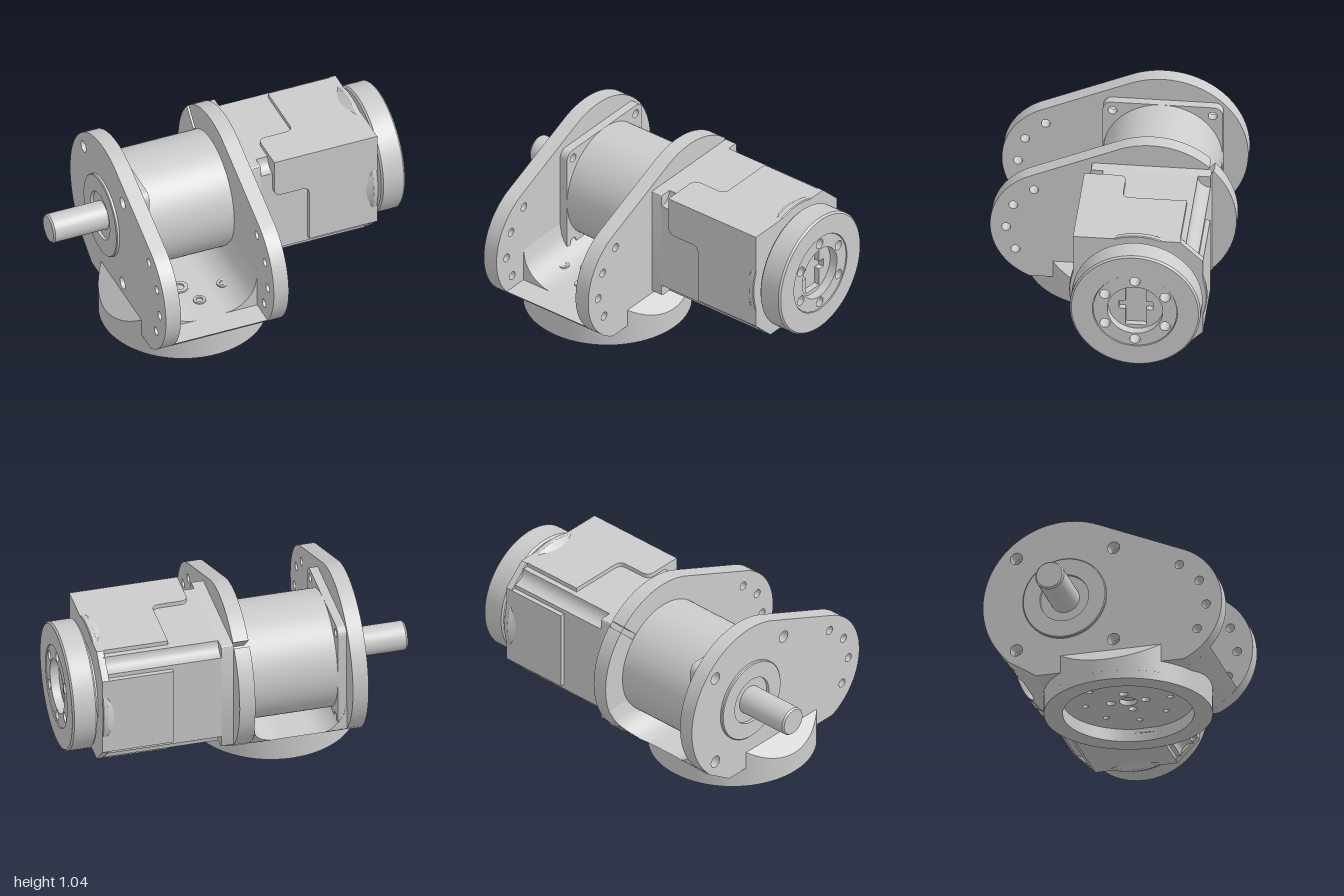
import * as THREE from 'three';
import { toCreasedNormals } from 'three/addons/utils/BufferGeometryUtils.js';

const AY = 0.57, AU = 0.213;      // motor axis; u = -z
const BX = -0.30, BZ = 0.05;      // base centre
const PI = Math.PI;

export function createModel() {
  const root = new THREE.Group();
  const mat = new THREE.MeshStandardMaterial({ color: 0xcccccc });

  const add = (name, geo) => {
    const m = new THREE.Mesh(toCreasedNormals(geo, 0.5), mat);
    m.name = name;
    root.add(m);
    return m;
  };
  const poly = (pts) => new THREE.Shape(pts.map(([a, b]) => new THREE.Vector2(a, b)));
  const circle = (u, v, r) => new THREE.Shape().absarc(u, v, r, 0, PI * 2, false);
  const punch = (shape, u, v, r) => shape.holes.push(new THREE.Path().absarc(u, v, r, 0, PI * 2, true));
  const extrude = (shape, depth) =>
    new THREE.ExtrudeGeometry(shape, { depth, bevelEnabled: false, curveSegments: 24 });
  // Prism along x from a (u, y) outline
  const prism = (name, shape, x0, x1) =>
    add(name, extrude(shape, x1 - x0).rotateY(PI / 2).translate(x0, 0, 0));
  // Turned part on the motor axis from [x, radius] pairs
  const turned = (name, pts, sides = 64) =>
    add(name, new THREE.LatheGeometry(pts.map(([x, r]) => new THREE.Vector2(r, x)), sides)
      .rotateZ(-PI / 2).translate(0, AY, -AU));

  // Side plates of the bracket
  function plateShape(slit) {
    const s = new THREE.Shape();
    s.moveTo(-0.474, 0.12);
    s.lineTo(0.38, 0.12);
    s.lineTo(0.555, 0.235);
    if (slit) {
      const a = PI / 4, w = 0.036;
      s.absarc(AU, AY, 0.473, -0.775, a - w, false);
      s.lineTo(AU + 0.34 * Math.cos(a - w * 1.4), AY + 0.34 * Math.sin(a - w * 1.4));
      s.lineTo(AU + 0.34 * Math.cos(a + w * 1.4), AY + 0.34 * Math.sin(a + w * 1.4));
      s.absarc(AU, AY, 0.473, a + w, 1.979, false);
    } else {
      s.absarc(AU, AY, 0.473, -0.775, 1.979, false);
    }
    s.absarc(-0.325, 0.455, 0.365, 1.979, 4.294, false);
    for (const [u, v] of [[-0.445, 0.7], [-0.56, 0.59], [-0.6, 0.44], [-0.548, 0.295]]) punch(s, u, v, 0.025);
    return s;
  }
  const corners = [[1, 1], [1, -1], [-1, 1], [-1, -1]];
  const outer = plateShape(false);
  for (const [i, j] of corners) punch(outer, AU + i * 0.28, AY + j * 0.28, 0.035);
  prism('shaftSidePlate', outer, -0.67, -0.58);
  prism('clampPlate', plateShape(true), -0.02, 0.07);

  // Cradle floor with coved sides, lofted between the plates
  const backEdge = (y) => y < 0.235
    ? 0.38 + (y - 0.12) / 0.115 * 0.175
    : AU + Math.sqrt(0.473 ** 2 - (y - AY) ** 2);
  const sections = [];
  const R = 0.2, N = 40, K = 10;
  for (let i = 0; i <= N; i++) {
    const dx = -0.28 + 0.56 * i / N;
    const t = Math.min(R, Math.max(0, Math.abs(dx) - 0.08));
    const h = 0.215 + R - Math.sqrt(Math.max(0, R * R - t * t));
    const sec = [[-0.45, 0.12]];
    for (let k = 0; k <= K; k++) {
      const y = 0.12 + (h - 0.12) * k / K;
      sec.push([dx < 0 ? Math.min(0.55, backEdge(y)) : backEdge(y), y]);
    }
    sec.push([-0.45, h]);
    sections.push(sec.map(([u, y]) => [BX + dx, y, -u]));
  }
  const pos = [];
  for (let i = 0; i < N; i++) {
    const p = sections[i], q = sections[i + 1], n = p.length;
    for (let k = 0; k < n; k++) {
      const l = (k + 1) % n;
      pos.push(...p[k], ...p[l], ...q[l], ...p[k], ...q[l], ...q[k]);
    }
  }
  const loft = new THREE.BufferGeometry();
  loft.setAttribute('position', new THREE.Float32BufferAttribute(pos, 3));
  add('cradleFloor', loft);
  prism('cradleLip', poly([[-0.474, 0.12], [-0.44, 0.12], [-0.44, 0.215], [-0.6, 0.215], [-0.545, 0.162]]), -0.58, -0.02);

  // Screw seats in the floor
  for (const [x, y, z, r] of [[-0.48, 0.232, 0.22, 0.035], [-0.3, 0.216, 0.29, 0.035], [-0.13, 0.232, 0.22, 0.035], [-0.36, 0.216, 0.14, 0.05]]) {
    const ring = circle(0, 0, r);
    punch(ring, 0, 0, r * 0.55);
    add('screwSeat', extrude(ring, 0.01).rotateX(-PI / 2).translate(x, y, z));
  }

  // Round base, hollow below, with its rim trimmed to the slopes
  const base = new THREE.LatheGeometry(
    [[0, 0.11], [0.365, 0.11], [0.365, 0], [0.47, 0], [0.47, 0.15], [0, 0.15]].map(([r, y]) => new THREE.Vector2(r, y)), 72);
  const bp = base.attributes.position;
  for (let i = 0; i < bp.count; i++)
    if (bp.getY(i) > 0.14) bp.setY(i, Math.min(0.15, 0.595 - Math.abs(bp.getX(i))));
  add('base', base.translate(BX, 0, BZ));
  const disc = circle(0, 0, 0.366);
  punch(disc, 0, 0, 0.05);
  for (let i = 0; i < 8; i++) punch(disc, 0.245 * Math.cos(i * PI / 4), 0.245 * Math.sin(i * PI / 4), 0.018);
  for (let i = 0; i < 4; i++) punch(disc, 0.1 * Math.cos(i * PI / 2), 0.1 * Math.sin(i * PI / 2), 0.025);
  add('baseBoltPlate', extrude(disc, 0.03).rotateX(-PI / 2).translate(BX, 0.075, BZ));

  // Sloped shoulders of the base, outside the plates
  for (const turn of [0, PI]) {
    const a = Math.acos(0.36 / 0.47);
    const g = extrude(new THREE.Shape().absarc(0, 0, 0.47, -a, a, false), 0.1).rotateX(-PI / 2);
    const p = g.attributes.position;
    for (let i = 0; i < p.count; i++) p.setY(i, p.getY(i) > 0.05 ? 0.595 - p.getX(i) : 0.05);
    add('baseShoulder', g.rotateY(turn).translate(BX, 0, BZ));
  }

  // Motor: shaft, pilot ring, flange and drum
  turned('shaft', [[-1, 0], [-1, 0.075], [-0.99, 0.083], [-0.6, 0.083]], 40);
  turned('pilotRing', [[-0.665, 0], [-0.665, 0.14], [-0.688, 0.14], [-0.688, 0.235], [-0.683, 0.24], [-0.66, 0.24]]);
  turned('motorDrum', [[-0.57, 0.335], [0.08, 0.335]]);
  const S = 0.335;
  function roundedSquare(c, concave) {
    const s = new THREE.Shape();
    for (let i = 0; i < 4; i++) {
      const a = PI / 4 + i * PI / 2, sx = Math.sign(Math.cos(a)), sy = Math.sign(Math.sin(a));
      const k = concave ? S : S - c, st = i * PI / 2;
      if (concave) s.absarc(AU + sx * k, AY + sy * k, c, st - PI / 2, st - PI, true);
      else s.absarc(AU + sx * k, AY + sy * k, c, st, st + PI / 2, false);
    }
    return s;
  }
  const flange = roundedSquare(0.05, false);
  for (const [i, j] of corners) punch(flange, AU + i * 0.28, AY + j * 0.28, 0.025);
  prism('motorFlange', flange, -0.58, -0.53);

  // Gear housing: mounting square and grooved core
  prism('housingMount', roundedSquare(0.012, false), 0.07, 0.14);
  prism('housingCore', roundedSquare(0.07, true), 0.14, 0.8);

  // Stepped cover panels on front and top, sharing one corner
  const panel = new THREE.Shape();
  panel.moveTo(0.21, 0);
  panel.lineTo(0.8, 0);
  panel.lineTo(0.8, 0.595);
  panel.lineTo(0.42, 0.595);
  panel.lineTo(0.42, 0.28);
  panel.quadraticCurveTo(0.42, 0.235, 0.375, 0.235);
  panel.lineTo(0.255, 0.235);
  panel.quadraticCurveTo(0.21, 0.235, 0.21, 0.19);
  panel.closePath();
  add('topPanel', extrude(panel, 0.08).rotateX(-PI / 2).translate(0, 0.85, 0.15));
  add('frontPanel', extrude(panel, 0.08).rotateX(PI).translate(0, 0.93, 0.15));

  // Raised pads on the back and underside
  add('backPad', new THREE.BoxGeometry(0.38, 0.475, 0.05).translate(0.61, 0.572, -0.55));
  add('bottomPad', new THREE.BoxGeometry(0.38, 0.05, 0.475).translate(0.61, 0.235, -0.213));

  // End frame with one square corner, and its round collar
  prism('endFrame', poly([[-0.15, 0.93], [-0.15, 0.335], [-0.02, 0.21], [0.45, 0.21], [0.575, 0.335],
    [0.575, 0.81], [0.45, 0.93]]), 0.79, 0.83);
  turned('endCollar', [[0.75, 0.355], [0.79, 0.378], [0.8, 0.385], [0.825, 0.385], [0.83, 0.38], [0.83, 0]], 72);

  // Output disc with bolted hub and keyed centre
  turned('outputDisc', [[0.82, 0.27], [0.857, 0.27], [0.857, 0.355], [0.867, 0.365], [0.99, 0.365], [1, 0.355],
    [1, 0.237], [0.91, 0.237], [0.91, 0]], 72);
  const hub = circle(AU, AY, 0.234);
  punch(hub, AU, AY, 0.155);
  for (let i = 0; i < 6; i++)
    punch(hub, AU + 0.194 * Math.cos(PI / 6 + i * PI / 3), AY + 0.194 * Math.sin(PI / 6 + i * PI / 3), 0.029);
  prism('outputHub', hub, 0.91, 0.995);
  const key = circle(AU, AY, 0.156);
  const q = [[0.058, 0.13], [0.058, 0.026], [0.095, 0.026]];
  const cross = [];
  for (const [i, j] of [[1, 1], [1, -1], [-1, -1], [-1, 1]]) {
    const part = q.map(([u, v]) => new THREE.Vector2(AU + i * u, AY + j * v));
    cross.push(...(i * j > 0 ? part : part.reverse()));
  }
  key.holes.push(new THREE.Path(cross));
  prism('keyedCentre', key, 0.91, 0.945);

  return root;
}
